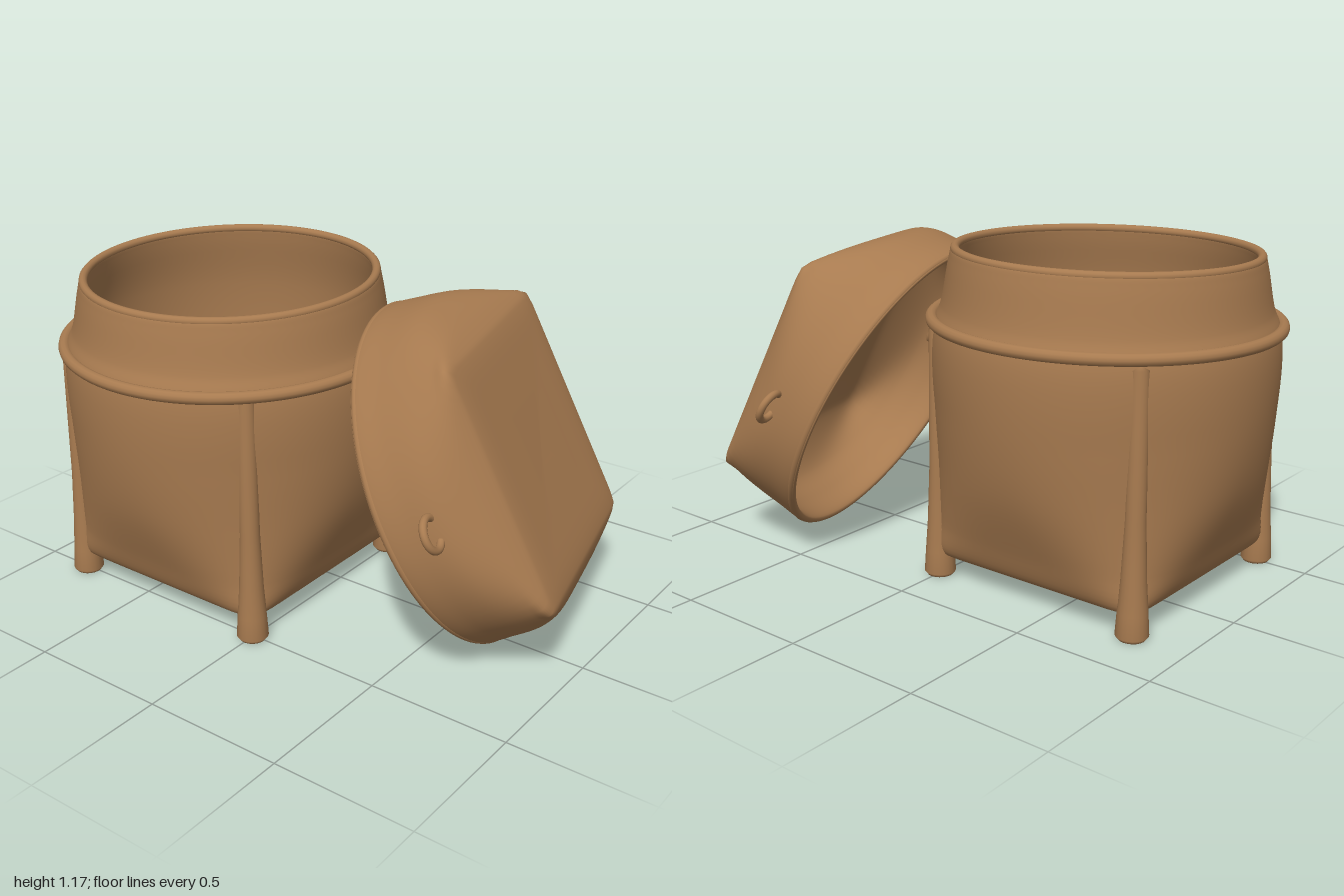
import * as THREE from 'three';

const wicker = new THREE.MeshStandardMaterial({ color: 0xa87b50 });
wicker.name = 'wicker brown';

function part(name, geometry, x = 0, y = 0, z = 0) {
  const mesh = new THREE.Mesh(geometry, wicker);
  mesh.name = name;
  mesh.position.set(x, y, z);
  return mesh;
}

// Smooth loft of round-to-square sections.
// Each profile entry is [height, radius at mid side, radius at corner].
function loft(profile, steps, sides, bend = (x, y) => y) {
  const curve = new THREE.CatmullRomCurve3(
    profile.map(([y, a, c]) => new THREE.Vector3(a, y, c)));
  const pos = [], index = [];
  for (let i = 0; i <= steps; i++) {
    const p = curve.getPoint(i / steps);
    const a = Math.max(p.x, 0.0005);
    const ratio = THREE.MathUtils.clamp(p.z / a, 1, 1.39);
    const k = 1 / (0.5 - Math.log2(ratio));
    for (let j = 0; j < sides; j++) {
      const t = (j / sides) * Math.PI * 2;
      const cx = Math.cos(t), cz = Math.sin(t);
      const r = a / Math.pow(Math.abs(cx) ** k + Math.abs(cz) ** k, 1 / k);
      pos.push(r * cx, bend(r * cz, p.y), r * cz);
      if (i < steps) {
        const n = (j + 1) % sides;
        const q = i * sides + j, qn = i * sides + n;
        index.push(q, q + sides, qn, qn, q + sides, qn + sides);
      }
    }
  }
  const g = new THREE.BufferGeometry();
  g.setAttribute('position', new THREE.Float32BufferAttribute(pos, 3));
  g.setIndex(index);
  g.computeVertexNormals();
  return g;
}

const hoop = (radius, tube, segments = 96) =>
  new THREE.TorusGeometry(radius, tube, 12, segments).rotateX(Math.PI / 2);

function makeBasket() {
  const basket = new THREE.Group();
  basket.name = 'basket';

  // Square base blending to a round neck, then back down the inside
  const profile = [
    [0.045, 0, 0], [0.05, 0.2, 0.27], [0.068, 0.38, 0.51], [0.09, 0.43, 0.575],
    [0.2, 0.475, 0.57], [0.4, 0.545, 0.572], [0.6, 0.58, 0.582], [0.8, 0.59, 0.59],
    [0.9, 0.58, 0.58], [0.96, 0.557, 0.557], [1.1, 0.53, 0.53], [1.14, 0.518, 0.518],
    [1.138, 0.498, 0.498], [1.1, 0.5, 0.5], [0.92, 0.53, 0.53], [0.6, 0.53, 0.535],
    [0.3, 0.48, 0.515], [0.15, 0.41, 0.5], [0.1, 0.33, 0.42], [0.08, 0, 0],
  ];
  // The mouth leans slightly toward the front
  const lean = (z, y) => y - 0.03 * z * THREE.MathUtils.smoothstep(y, 0.85, 1.14);
  basket.add(part('basketBody', loft(profile, 114, 96, lean)));
  basket.add(part('mouthRim', hoop(0.508, 0.015).rotateX(0.03), 0, 1.137, 0));

  // Flange where the lid rests
  basket.add(part('lidStop', hoop(0.588, 0.021).rotateX(0.02), 0, 0.906, 0));

  // Corner legs continuing upward as ribs
  const legProfile = [
    [0, 0], [0.046, 0], [0.055, 0.012], [0.05, 0.09], [0.042, 0.2],
    [0.034, 0.4], [0.03, 0.88], [0, 0.9],
  ].map(([r, y]) => new THREE.Vector2(r, y));
  const leg = new THREE.LatheGeometry(legProfile, 20);
  for (const sx of [-1, 1]) {
    for (const sz of [-1, 1]) {
      basket.add(part('cornerLeg', leg, sx * 0.402, 0, sz * 0.402));
    }
  }
  basket.position.set(-0.4, 0, 0.105);
  return basket;
}

function makeLid() {
  const lid = new THREE.Group();
  lid.name = 'lid';

  // From the ceiling down the inside, round the rim and up to the square top
  const profile = [
    [0.32, 0, 0], [0.32, 0.3, 0.4], [0.3, 0.4, 0.53], [0.2, 0.53, 0.565],
    [0.1, 0.56, 0.573], [0.003, 0.575, 0.575], [0, 0.595, 0.595], [0.1, 0.585, 0.597],
    [0.2, 0.56, 0.597], [0.29, 0.495, 0.592], [0.34, 0.43, 0.588], [0.352, 0.39, 0.53],
    [0.354, 0.2, 0.27], [0.35, 0, 0],
  ];
  lid.add(part('lidShell', loft(profile, 91, 96)));
  lid.add(part('lidRim', hoop(0.587, 0.014), 0, 0.012, 0));

  // Cord loops on two opposite sides
  for (const s of [-1, 1]) {
    lid.add(part('cordLoop', hoop(0.052, 0.013, 32), s * 0.597, 0.17, 0));
  }

  // Lean the lid on the basket
  const side = new THREE.Vector3(0.23, 0, 0.97).normalize();
  const up = new THREE.Vector3(0.87, 0.443, -0.206).normalize();
  const across = new THREE.Vector3().crossVectors(side, up).normalize();
  side.crossVectors(up, across);
  lid.quaternion.setFromRotationMatrix(new THREE.Matrix4().makeBasis(side, up, across));
  lid.position.set(0.418, 0.54, -0.058);
  return lid;
}

export function createModel() {
  const model = new THREE.Group();
  model.name = 'liddedBasket';
  model.add(makeBasket(), makeLid());
  return model;
}
